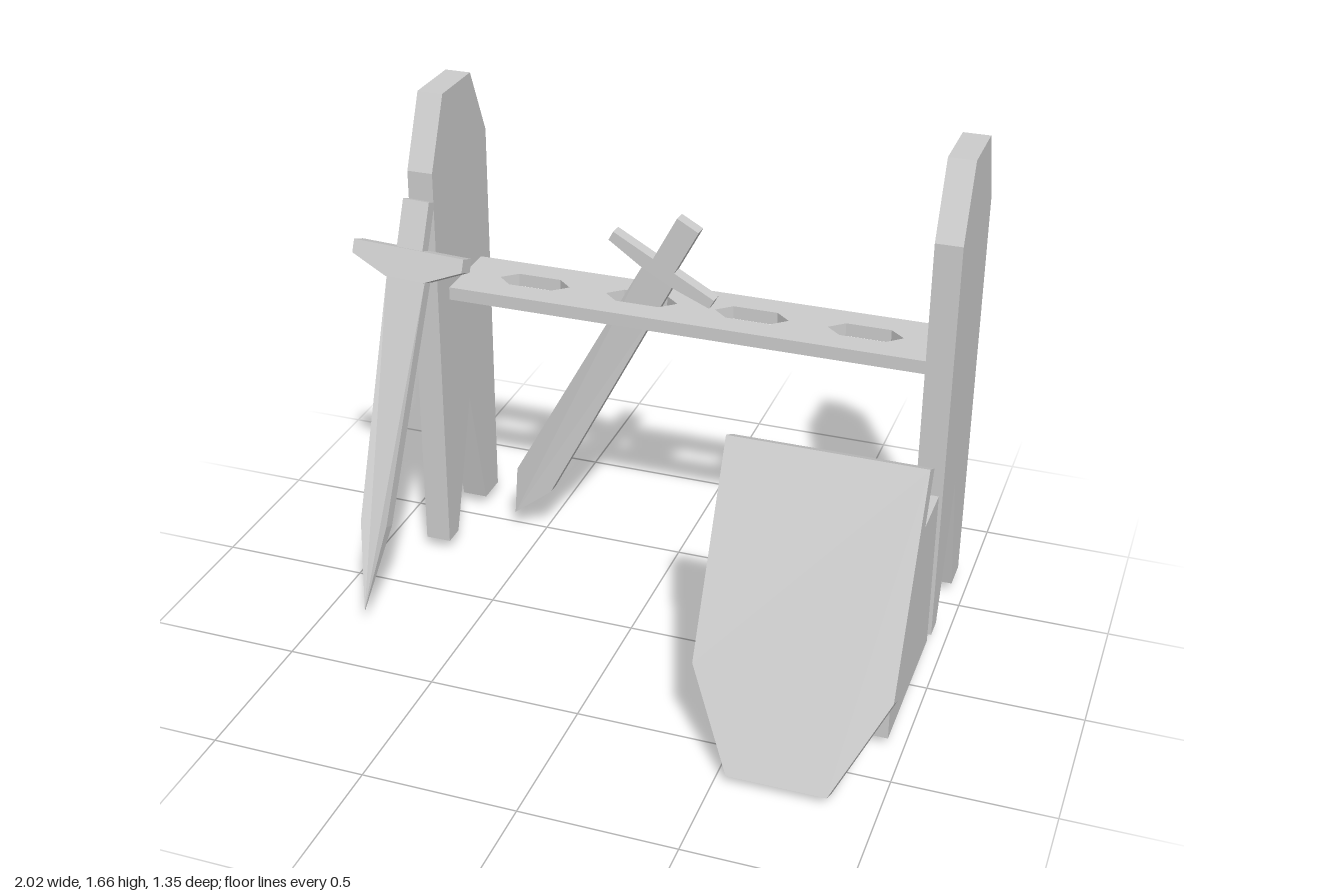
import * as THREE from 'three';

const material = new THREE.MeshStandardMaterial({ color: 0xcccccc });

function mesh(name, geometry) {
  const m = new THREE.Mesh(geometry, material);
  m.name = name;
  return m;
}

// Flat plate cut from an outline, centred on its own thickness.
function plate(points, depth, holes = []) {
  const toVectors = (list) => list.map(([x, y]) => new THREE.Vector2(x, y));
  const shape = new THREE.Shape(toVectors(points));
  holes.forEach((h) => shape.holes.push(new THREE.Path(toVectors(h))));
  const g = new THREE.ExtrudeGeometry(shape, { depth, bevelEnabled: false });
  return g.translate(0, 0, -depth / 2);
}

// Mirrors the right half of an outline (listed bottom to top) to the left.
function mirrored(half) {
  const left = half.filter(([x]) => x > 0).map(([x, y]) => [-x, y]).reverse();
  return [...half, ...left];
}

// Sword standing on its tip along +y, then leaned from tip to pommel.
function sword(name, o) {
  const group = new THREE.Group();
  group.name = name;
  const blade = plate(mirrored([[0, 0], [o.low, o.shoulder], [o.high, o.guard[0]]]), o.thick);
  // Thin the blade to a point
  const p = blade.attributes.position;
  for (let i = 0; i < p.count; i++) if (p.getY(i) < 0.01) p.setZ(i, p.getZ(i) * 0.1);
  blade.computeVertexNormals();
  group.add(mesh('blade', blade));

  const [join, end, top] = o.guard;
  group.add(mesh('guard', plate(mirrored([[o.high, join], [0.2, end], [0.2, top]]), o.guardThick)));

  const tip = new THREE.Vector3(...o.tip);
  const axis = new THREE.Vector3(...o.pommel).sub(tip);
  const length = axis.length();
  const grip = new THREE.BoxGeometry(o.grip * 2, length - top, o.thick);
  group.add(mesh('grip', grip.translate(0, (length + top) / 2, 0)));

  const y = axis.normalize();
  const x = new THREE.Vector3(...o.across);
  x.addScaledVector(y, -x.dot(y)).normalize();
  const z = new THREE.Vector3().crossVectors(x, y);
  group.quaternion.setFromRotationMatrix(new THREE.Matrix4().makeBasis(x, y, z));
  group.position.copy(tip);
  return group;
}

export function createModel() {
  const model = new THREE.Group();
  model.name = 'weaponRack';

  // Posts with a chamfered top and a notch between two feet
  const post = plate([
    [-0.675, 0.045], [-0.565, 0.045], [-0.457, 0.51], [-0.315, 0.045], [-0.24, 0.045],
    [-0.24, 1.43], [-0.345, 1.665], [-0.565, 1.665], [-0.675, 1.43],
  ], 0.087).rotateY(-Math.PI / 2);
  for (const [name, x] of [['rightPost', -0.808], ['leftPost', 0.915]]) {
    const m = mesh(name, post);
    m.position.x = x;
    model.add(m);
  }

  // Shelf with four hexagonal slots
  const slots = [-0.51, -0.13, 0.25, 0.63].map((x) => [
    [x - 0.125, 0], [x - 0.075, -0.045], [x + 0.075, -0.045],
    [x + 0.125, 0], [x + 0.075, 0.045], [x - 0.075, 0.045],
  ]);
  const shelf = mesh('shelf', plate(
    [[-0.77, -0.135], [0.875, -0.135], [0.875, 0.135], [-0.77, 0.135]], 0.045, slots,
  ).rotateX(-Math.PI / 2));
  shelf.position.set(0, 0.968, -0.465);
  model.add(shelf);

  // Crate
  const crate = mesh('crate', new THREE.BoxGeometry(0.555, 0.55, 0.55));
  crate.position.set(0.673, 0.31, 0.06);
  model.add(crate);

  // Shield leaning back, hung from its top front edge
  const shield = mesh('shield', plate(
    mirrored([[0.155, -1.004], [0.307, -0.69], [0.307, 0]]), 0.07,
  ).translate(0, 0, -0.035));
  shield.rotation.x = -Math.atan2(0.425, 0.91);
  shield.position.set(0.693, 0.945, 0.25);
  model.add(shield);

  // Sword leaning against the post, and sword set through a slot
  model.add(sword('leaningSword', {
    tip: [-0.85, 0.05, 0.26], pommel: [-0.808, 1.34, -0.223], across: [1, 0, 0.06],
    low: 0.048, high: 0.07, shoulder: 0.3, thick: 0.04, grip: 0.047,
    guard: [1.12, 1.175, 1.22], guardThick: 0.06,
  }));
  model.add(sword('rackedSword', {
    tip: [-0.605, 0.07, -0.465], pommel: [0.037, 1.285, -0.46], across: [1.215, -0.64, 0.05],
    low: 0.072, high: 0.06, shoulder: 0.18, thick: 0.045, grip: 0.042,
    guard: [1.15, 1.165, 1.2], guardThick: 0.045,
  }));
  return model;
}
